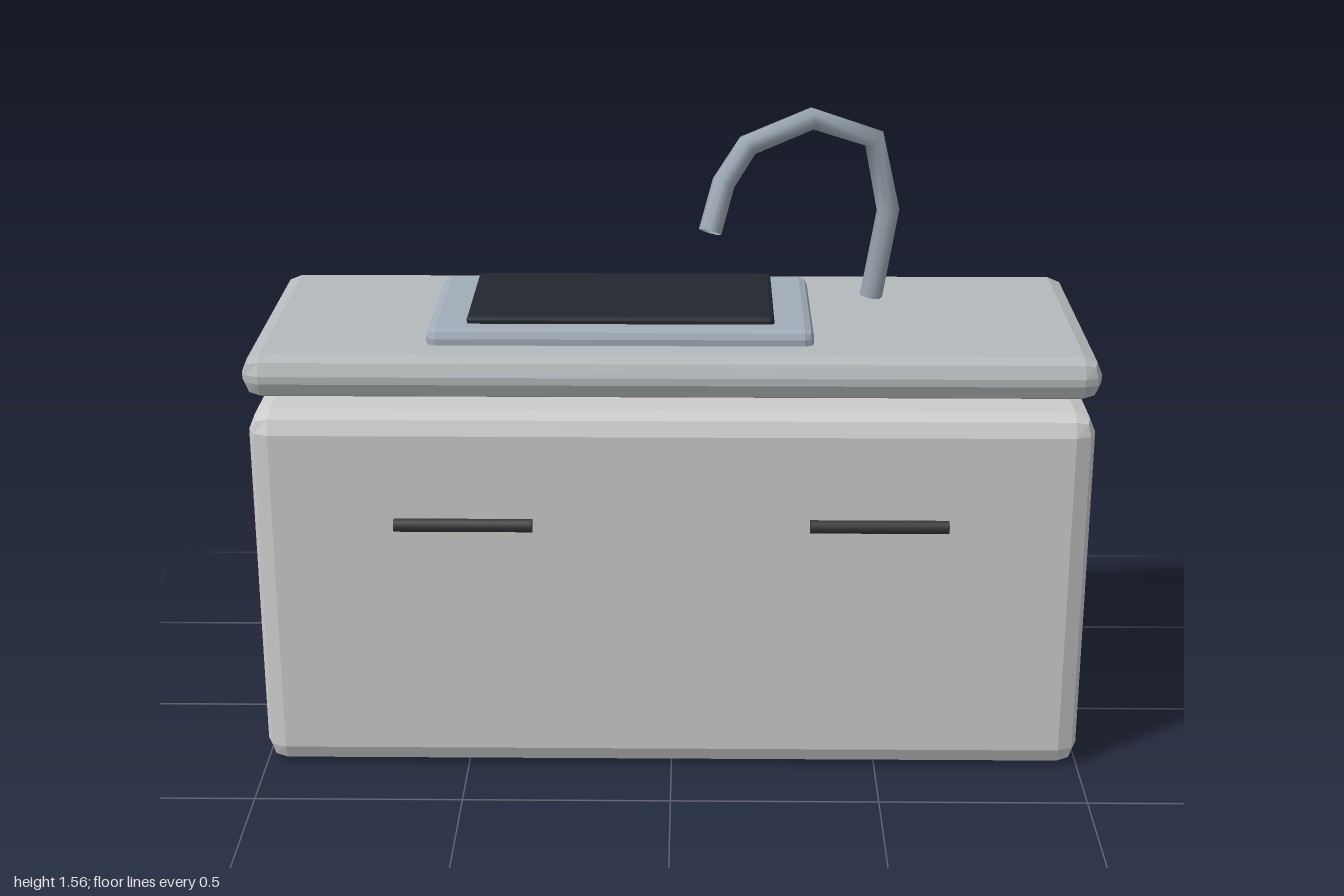
import * as THREE from 'three';
import { RoundedBoxGeometry } from 'three/addons/geometries/RoundedBoxGeometry.js';

const material = (color, options = {}) => new THREE.MeshStandardMaterial({ color, ...options });

export function createModel() {
  const model = new THREE.Group();
  model.name = 'sinkUnit';

  const add = (name, geometry, mat, x = 0, y = 0, z = 0) => {
    const mesh = new THREE.Mesh(geometry, mat);
    mesh.name = name;
    mesh.position.set(x, y, z);
    model.add(mesh);
    return mesh;
  };

  // Box with two-facet rounded edges, given by its lower and upper corners
  const block = (name, [x0, y0, z0], [x1, y1, z1], radius, color) =>
    add(name, new RoundedBoxGeometry(x1 - x0, y1 - y0, z1 - z0, 1, radius),
      material(color, { flatShading: true }),
      (x0 + x1) / 2, (y0 + y1) / 2, (z0 + z1) / 2);

  // Cabinet and the worktop floating just above it
  block('cabinet', [-1, 0, -0.328], [1, 0.917, 0.328], 0.05, 0xcccccc);
  block('worktop', [-1, 0.964, -0.363], [1, 1.068, 0.363], 0.043, 0xb4b9bb);

  // Sink rim and dark basin, both partly sunk into the worktop
  block('sinkRim', [-0.578, 1.045, -0.215], [0.335, 1.105, 0.254], 0.022, 0xa0acb8);
  block('basin', [-0.485, 1.08, -0.168], [0.242, 1.123, 0.202], 0.01, 0x22262e);

  // Bar handles on the front
  const handleMat = material(0x303336);
  for (const [name, x] of [['rightHandle', -0.493], ['leftHandle', 0.493]]) {
    add(name, new THREE.CylinderGeometry(0.017, 0.017, 0.328, 8), handleMat, x, 0.652, 0.352)
      .rotation.z = Math.PI / 2;
  }

  // Gooseneck tap, one tube segment between each pair of points
  const points = [
    [0.493, 1.07, -0.145], [0.53, 1.29, -0.155], [0.49, 1.472, -0.143], [0.336, 1.53, -0.105],
    [0.18, 1.472, -0.068], [0.122, 1.39, -0.025], [0.09, 1.28, 0.02],
  ].map((p) => new THREE.Vector3(...p));
  const path = new THREE.CatmullRomCurve3(points);
  path.getUtoTmapping = (u) => u; // place the rings exactly on the points
  add('tap', new THREE.TubeGeometry(path, points.length - 1, 0.028, 8),
    material(0x98a4af, { side: THREE.DoubleSide }));

  return model;
}
